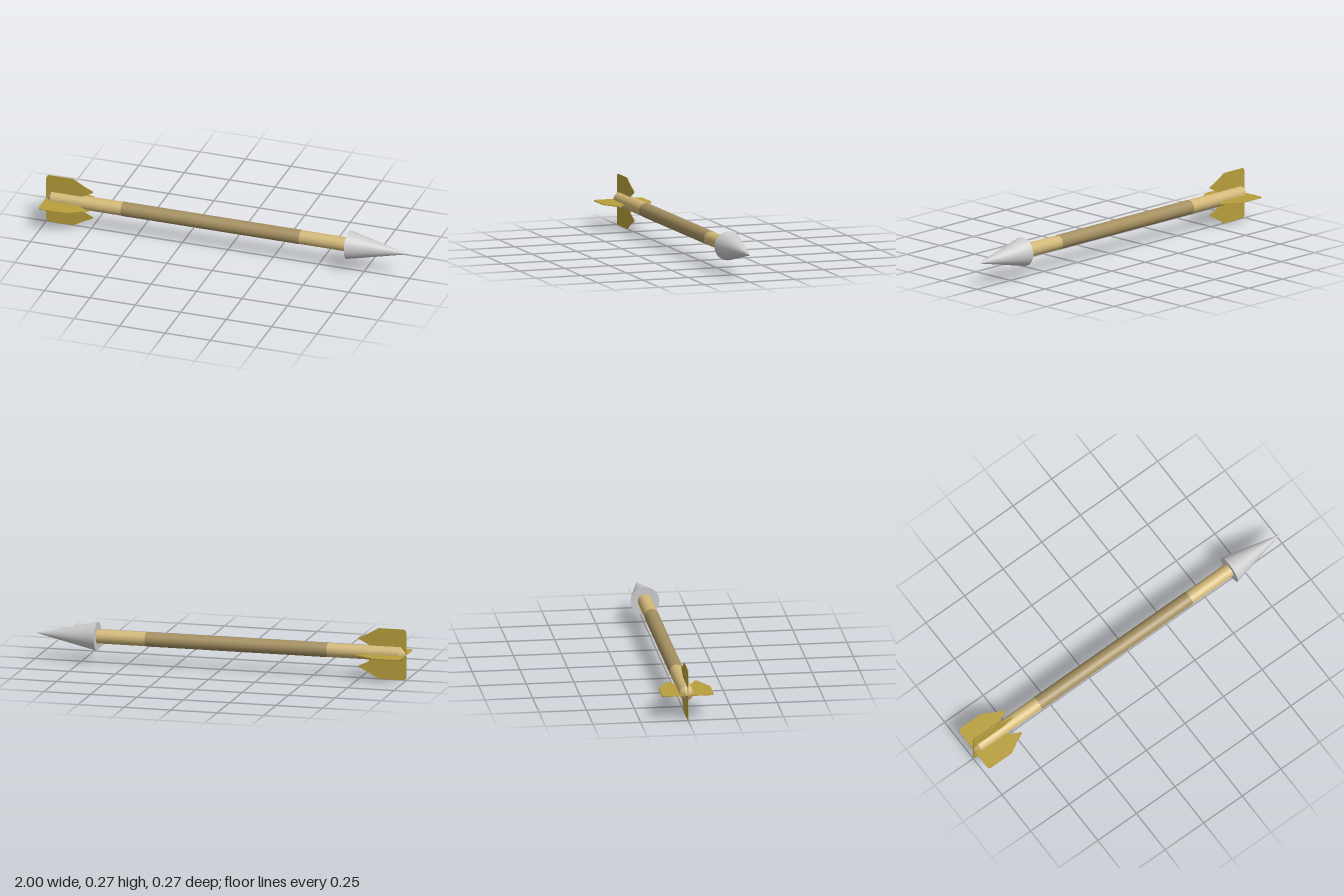
import * as THREE from 'three';

const AXIS_Y = 0.139, AXIS_Z = -0.005;

const paint = (color) => new THREE.MeshStandardMaterial({ color });

// Cylinder or cone lying along x, from x0 (radius r0) to x1 (radius r1)
function rod(name, x0, r0, x1, r1, material, open = false) {
  const geometry = new THREE.CylinderGeometry(r1, r0, x1 - x0, 32, 1, open);
  geometry.rotateZ(-Math.PI / 2);
  const mesh = new THREE.Mesh(geometry, material);
  mesh.position.set((x0 + x1) / 2, AXIS_Y, AXIS_Z);
  mesh.name = name;
  return mesh;
}

export function createModel() {
  const group = new THREE.Group();
  group.name = 'arrow';

  const wood = paint(0xd2b878);
  const leather = paint(0xa48f60);
  const feather = paint(0xb89f3c);
  const steel = paint(0xcccccc);

  // Shaft in three sections, with a tapered tail
  group.add(
    rod('tail', -0.995, 0.008, -0.97, 0.037, wood),
    rod('rearShaft', -0.97, 0.037, -0.58, 0.037, wood),
    rod('wrappedShaft', -0.58, 0.038, 0.4, 0.038, leather),
    rod('frontShaft', 0.4, 0.037, 0.67, 0.037, wood),
    rod('arrowHead', 0.662, 0.076, 0.995, 0, steel)
  );

  // Four thin fins set crosswise round the tail
  const outline = [
    [-1, 0.005], [-0.8, 0.005], [-0.8, 0.042], [-0.775, 0.056], [-0.742, 0.071],
    [-0.742, 0.078], [-0.79, 0.1], [-0.85, 0.135], [-0.985, 0.135], [-0.995, 0.13], [-1, 0.115],
  ];
  const shape = new THREE.Shape(outline.map(([x, y]) => new THREE.Vector2(x, y)));
  const thickness = 0.004;
  const finGeometry = new THREE.ExtrudeGeometry(shape, { depth: thickness, bevelEnabled: false });
  finGeometry.translate(0, 0, -thickness / 2);
  ['topFin', 'leftFin', 'bottomFin', 'rightFin'].forEach((name, i) => {
    const fin = new THREE.Mesh(finGeometry, feather);
    fin.name = name;
    fin.position.y = 0.135;
    fin.rotation.x = (i * Math.PI) / 2;
    group.add(fin);
  });

  return group;
}
